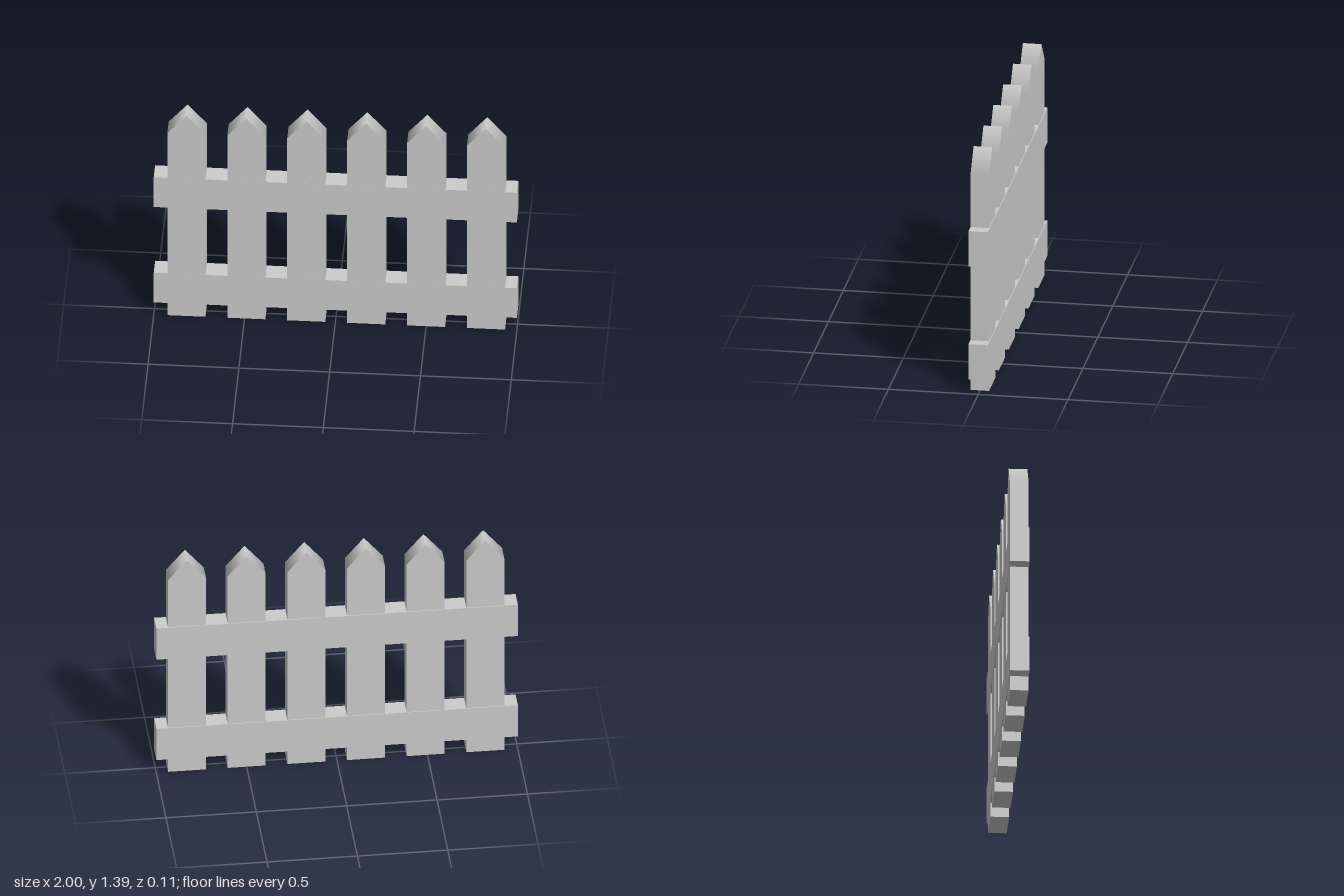
import * as THREE from 'three';

const PICKET = { width: 0.21, shoulder: 1.265, top: 1.39, back: -0.05, front: 0.0535 };
const RAIL = { length: 2, height: 0.206, depth: 0.108 };

// Pointed board; the two slopes are shaded as one rounded cap
function picketGeometry() {
  const { width, shoulder, top, back, front } = PICKET;
  const w = width / 2;
  const shape = new THREE.Shape([
    new THREE.Vector2(-w, 0),
    new THREE.Vector2(w, 0),
    new THREE.Vector2(w, shoulder),
    new THREE.Vector2(0, top),
    new THREE.Vector2(-w, shoulder),
  ]);
  const geo = new THREE.ExtrudeGeometry(shape, { depth: front - back, bevelEnabled: false });
  geo.translate(0, 0, back);

  const pos = geo.attributes.position;
  const normal = geo.attributes.normal;
  for (let i = 0; i < pos.count; i++) {
    if (normal.getY(i) < 0.1) continue;
    if (pos.getY(i) > shoulder + 0.01) normal.setXYZ(i, 0, 1, 0);
    else normal.setXYZ(i, Math.sign(pos.getX(i)), 0, 0);
  }
  return geo;
}

export function createModel() {
  const fence = new THREE.Group();
  fence.name = 'picketFence';
  const material = new THREE.MeshStandardMaterial({ color: 0xcccccc });

  // Six evenly spaced pickets
  const picketGeo = picketGeometry();
  for (let i = 0; i < 6; i++) {
    const picket = new THREE.Mesh(picketGeo, material);
    picket.name = `picket${i + 1}`;
    picket.position.x = -0.82 + i * 0.33;
    fence.add(picket);
  }

  // Lower and upper rails, a hair deeper than the pickets
  const railGeo = new THREE.BoxGeometry(RAIL.length, RAIL.height, RAIL.depth);
  for (const [name, y] of [['lowerRail', 0.188], ['upperRail', 0.851]]) {
    const rail = new THREE.Mesh(railGeo, material);
    rail.name = name;
    rail.position.y = y;
    fence.add(rail);
  }
  return fence;
}
